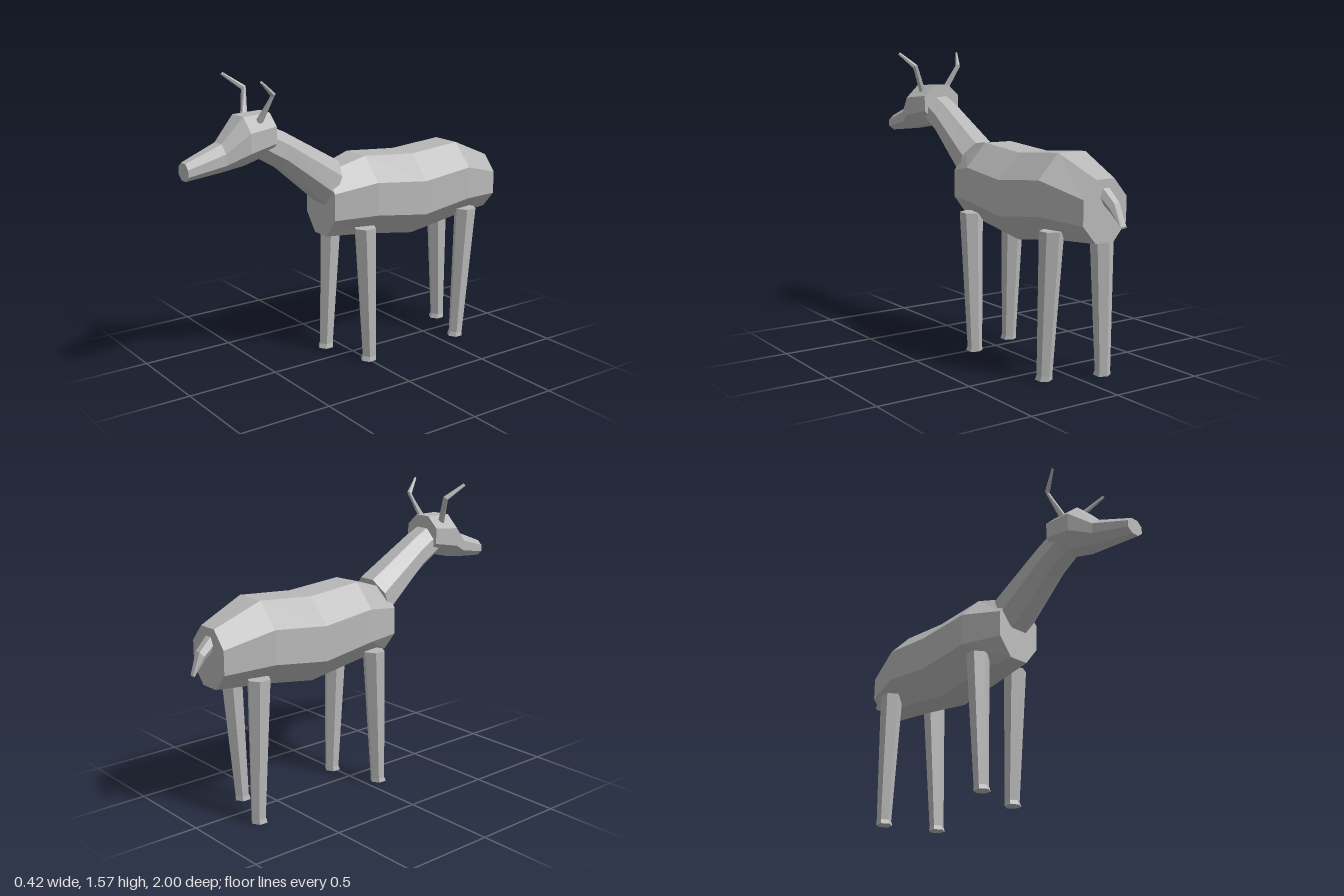
import * as THREE from 'three';

const hide = new THREE.MeshStandardMaterial({ color: 0xb8b8b8, flatShading: true });
hide.name = 'plain grey';

// Skin a list of sections [centre, u, v]; u x v must point along the list.
function loft(name, sections, sides, phase = 0) {
  const rings = sections.map(([c, u, v]) => Array.from({ length: sides }, (_, k) => {
    const a = phase + (k / sides) * Math.PI * 2;
    return c.map((p, i) => p + u[i] * Math.cos(a) + v[i] * Math.sin(a));
  }));
  const pos = [];
  const tri = (a, b, c) => pos.push(...a, ...b, ...c);
  const last = rings.length - 1;
  for (let k = 0; k < sides; k++) {
    const n = (k + 1) % sides;
    for (let i = 0; i < last; i++) {
      const lo = rings[i], hi = rings[i + 1];
      tri(lo[k], lo[n], hi[n]);
      tri(lo[k], hi[n], hi[k]);
    }
    tri(sections[0][0], rings[0][n], rings[0][k]);
    tri(sections[last][0], rings[last][k], rings[last][n]);
  }
  const geo = new THREE.BufferGeometry();
  geo.setAttribute('position', new THREE.Float32BufferAttribute(pos, 3));
  geo.computeVertexNormals();
  const mesh = new THREE.Mesh(geo, hide);
  mesh.name = name;
  return mesh;
}

// Flat-topped octagon given by its half width and the middle of its top side
const OCT = Math.PI / 8, K = 1 / Math.cos(OCT);
const oct = (x, y, z, halfWidth, up, back = 0) =>
  [[x, y, z], [halfWidth * K, 0, 0], [0, up * K, back * K]];

function createLeg(name, x, topZ, footZ) {
  const ring = (y, z, r) => [[x, y, z], [0, 0, r], [r, 0, 0]];
  return loft(name, [
    ring(0, footZ + 0.005, 0.044),
    ring(0.025, footZ, 0.039),
    ring(0.745, topZ, 0.061),
  ], 6);
}

function createHorn(name, side) {
  const x = (d) => 0.01 + side * d;
  return loft(name, [
    [[x(0.068), 1.345, 0.615], [0.02, 0, 0], [0, -0.005, -0.018]],
    [[x(0.14), 1.492, 0.572], [0.015, -0.003 * side, 0], [0, 0.009, -0.011]],
    [[x(0.19), 1.565, 0.665], [0.007, -0.003 * side, 0], [0, 0.005, -0.005]],
  ], 6);
}

export function createModel() {
  const model = new THREE.Group();
  model.name = 'horned grazing animal';

  // Barrel body, rump to chest
  model.add(loft('body', [
    oct(0, 0.855, -0.89, 0.13, 0.15),
    oct(0, 0.9, -0.64, 0.2, 0.21),
    oct(0, 0.865, -0.33, 0.212, 0.22),
    oct(0, 0.9, -0.02, 0.197, 0.21),
    oct(0, 0.875, 0.205, 0.13, 0.17),
  ], 8, OCT));

  // Neck leaning forward
  model.add(loft('neck', [
    oct(0, 0.985, 0.165, 0.115, 0.11, -0.043),
    oct(0.003, 1.187, 0.453, 0.092, 0.097, -0.005),
    oct(0.005, 1.25, 0.567, 0.088, 0.073, -0.036),
  ], 8, OCT));

  // Head tapering to the muzzle, turned slightly to its left
  model.add(loft('head', [
    oct(0.005, 1.288, 0.533, 0.11, 0.102),
    oct(0.015, 1.267, 0.69, 0.125, 0.118),
    oct(0.022, 1.197, 0.805, 0.08, 0.068),
    oct(0.035, 1.152, 1.0, 0.05, 0.043),
  ], 8, OCT));

  // Drooping tail, tip to root
  model.add(loft('tail', [
    [[-0.022, 0.79, -0.997], [0.018, 0, 0], [0, 0.006, -0.003]],
    [[-0.012, 0.878, -0.943], [0.033, 0, 0], [0, 0.026, -0.016]],
    [[-0.005, 0.935, -0.875], [0.038, 0, 0], [0, 0.034, -0.015]],
  ], 6));

  // Horns and legs
  for (const [label, side] of [['left', 1], ['right', -1]]) {
    model.add(createHorn(label + 'Horn', side));
  }
  model.add(
    createLeg('leftFrontLeg', 0.142, 0.022, -0.008),
    createLeg('rightFrontLeg', -0.142, 0.045, 0.078),
    createLeg('leftBackLeg', 0.142, -0.67, -0.622),
    createLeg('rightBackLeg', -0.142, -0.7, -0.722),
  );
  return model;
}
